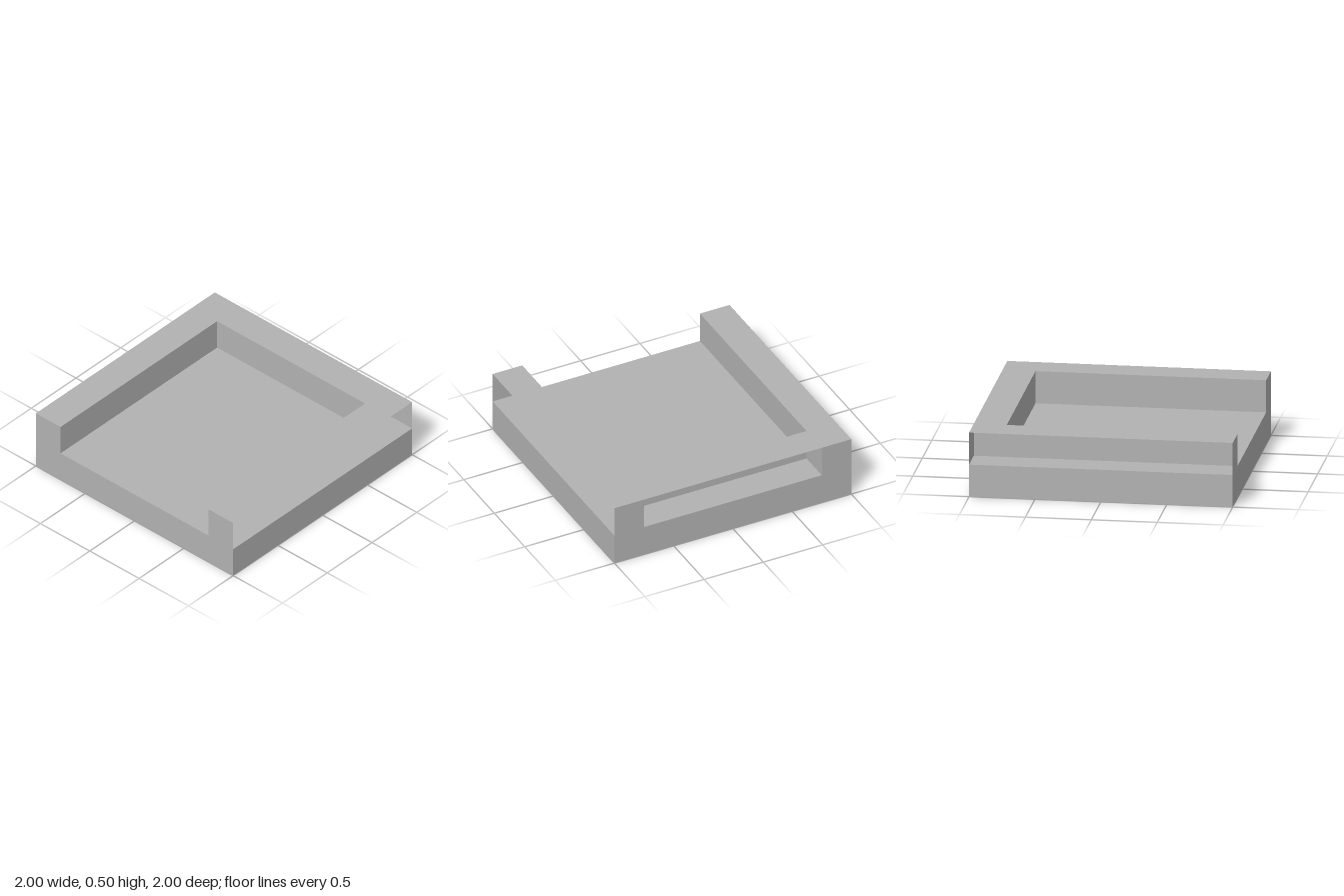
import * as THREE from 'three';

const HALF = 1;      // half width and depth
const INNER = 0.75;  // inner wall distance from the centre
const FLOOR = 0.25;  // height of the tray floor
const TOP = 0.5;     // height of the rim

export function createModel() {
  const group = new THREE.Group();
  const grey = new THREE.MeshStandardMaterial({ color: 0xb2b2b2, side: THREE.DoubleSide });
  grey.name = 'grey';

  const add = (name, geometry, x, y, z, rx = 0, ry = 0) => {
    const mesh = new THREE.Mesh(geometry, grey);
    mesh.name = name;
    mesh.position.set(x, y, z);
    mesh.rotation.set(rx, ry, 0);
    group.add(mesh);
  };

  // U-shaped sheet: outer rectangle with a notch open along its top edge
  const notched = (bottom, notch, top) => new THREE.ShapeGeometry(new THREE.Shape([
    [-HALF, bottom], [HALF, bottom], [HALF, top], [INNER, top],
    [INNER, notch], [-INNER, notch], [-INNER, top], [-HALF, top],
  ].map(([x, y]) => new THREE.Vector2(x, y))));

  // Front and back sheets, each with two corner posts
  const endPanel = notched(0, FLOOR, TOP);
  add('frontPanel', endPanel, 0, 0, HALF);
  add('backPanel', endPanel, 0, 0, -HALF, 0, Math.PI);

  // Rim around the back and both sides, open at the front
  add('topRim', notched(-HALF, -INNER, HALF), 0, TOP, 0, Math.PI / 2);
  // The rim sheet is turned face down, so both of its sides are drawn

  // Tray floor; the underside of the base is open
  add('floor', new THREE.PlaneGeometry(2 * HALF, 2 * HALF), 0, FLOOR, 0, -Math.PI / 2);

  // Low outer skirts and upper inner walls on both sides
  const skirt = new THREE.PlaneGeometry(2 * HALF, FLOOR);
  const wall = new THREE.PlaneGeometry(2 * HALF, TOP - FLOOR);
  for (const [side, s] of [['left', 1], ['right', -1]]) {
    add(side + 'Skirt', skirt, s * HALF, FLOOR / 2, 0, 0, s * Math.PI / 2);
    add(side + 'InnerWall', wall, s * INNER, (FLOOR + TOP) / 2, 0, 0, -s * Math.PI / 2);
  }

  // Inner wall at the back
  add('backInnerWall', new THREE.PlaneGeometry(2 * INNER, TOP - FLOOR), 0, (FLOOR + TOP) / 2, -INNER);

  return group;
}
